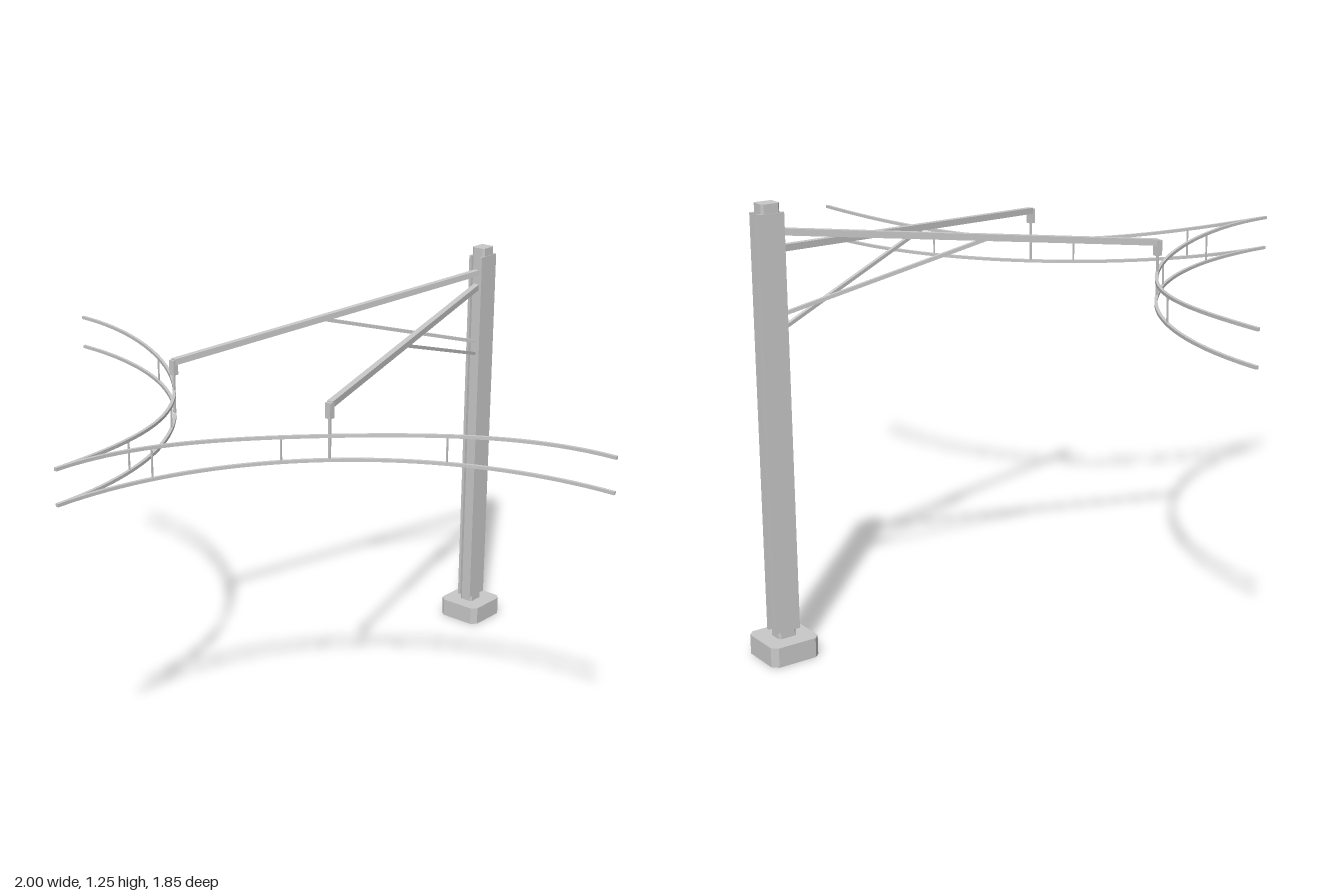
import * as THREE from 'three';

const steel = new THREE.MeshStandardMaterial({ color: 0xc8c8c8 });
steel.name = 'galvanised grey';
const V = (x, y, z) => new THREE.Vector3(x, y, z);
const MAST_Z = -0.852;

function add(parent, geometry, name) {
  const mesh = new THREE.Mesh(geometry, steel);
  mesh.name = name;
  parent.add(mesh);
  return mesh;
}

// Square bar between two points
function bar(parent, a, b, size, name) {
  const mesh = add(parent, new THREE.BoxGeometry(size, size, a.distanceTo(b)), name);
  mesh.position.copy(a).add(b).multiplyScalar(0.5);
  mesh.lookAt(b);
}

// Upright block with chamfered vertical corners
function chamferedPost(parent, halfX, halfZ, cut, y0, y1, name) {
  const s = new THREE.Shape([
    [halfX, cut - halfZ], [halfX, halfZ - cut], [halfX - cut, halfZ], [cut - halfX, halfZ],
    [-halfX, halfZ - cut], [-halfX, cut - halfZ], [cut - halfX, -halfZ], [halfX - cut, -halfZ],
  ].map(([x, y]) => new THREE.Vector2(x, y)));
  const g = new THREE.ExtrudeGeometry(s, { depth: y1 - y0, bevelEnabled: false });
  g.rotateX(-Math.PI / 2);
  g.translate(0, y0, MAST_Z);
  add(parent, g, name);
}

// Quarter-circle wire path, optionally dipping to its middle
class WireCurve extends THREE.Curve {
  constructor(side, height, sag) {
    super();
    Object.assign(this, { side, height, sag });
  }
  getPoint(t, target = new THREE.Vector3()) {
    const a = t * Math.PI / 2;
    const dip = this.sag * (1 - Math.cos(4 * a)) / 2;
    return target.set(this.side * (1 - Math.sin(a)), this.height - dip, 0.925 - Math.cos(a));
  }
}

// Square wire swept along its path
function wire(parent, curve, name) {
  const h = 0.0045;
  const section = new THREE.Shape([[-h, -h], [h, -h], [h, h], [-h, h]].map(([x, y]) => new THREE.Vector2(x, y)));
  add(parent, new THREE.ExtrudeGeometry(section, { steps: 40, extrudePath: curve }), name);
}

export function createModel() {
  const model = new THREE.Group();
  model.name = 'overheadLineMast';

  // Mast: footing, core and two side flanges
  const mast = new THREE.Group();
  mast.name = 'mast';
  model.add(mast);
  chamferedPost(mast, 0.072, 0.073, 0.016, 0, 0.056, 'footing');
  chamferedPost(mast, 0.023, 0.027, 0.006, 0.05, 1.25, 'mastCore');
  for (const side of [-1, 1]) {
    const flange = add(mast, new THREE.BoxGeometry(0.009, 1.15, 0.074), 'mastFlange');
    flange.position.set(side * 0.02, 0.65, MAST_Z);
  }

  // Each side: bracket arm, strut, and its curved pair of wires
  for (const side of [-1, 1]) {
    const half = new THREE.Group();
    half.name = side < 0 ? 'rightLine' : 'leftLine';
    model.add(half);

    const armRoot = V(0, side < 0 ? 1.172 : 1.127, -0.825);
    const armTip = V(side * 0.293, 1.06, 0.218);
    bar(half, armRoot, armTip, 0.018, 'bracketArm');
    bar(half, V(0, side < 0 ? 0.95 : 0.91, -0.825),
      armRoot.clone().lerp(armTip, 0.54), 0.01, 'bracketStrut');
    const holder = add(half, new THREE.BoxGeometry(0.018, 0.044, 0.018), 'wireHolder');
    holder.position.set(side * 0.293, 1.044, 0.218);
    bar(half, V(side * 0.293, 1.03, 0.218), V(side * 0.293, 0.905, 0.218), 0.006, 'holderRod');

    const upper = new WireCurve(side, 1.0, 0.028);
    const lower = new WireCurve(side, 0.904, 0);
    wire(half, upper, 'carrierWire');
    wire(half, lower, 'contactWire');
    for (const t of [0.3, 0.583, 0.812]) {
      bar(half, upper.getPoint(t), lower.getPoint(t), 0.004, 'dropper');
    }
  }
  return model;
}
